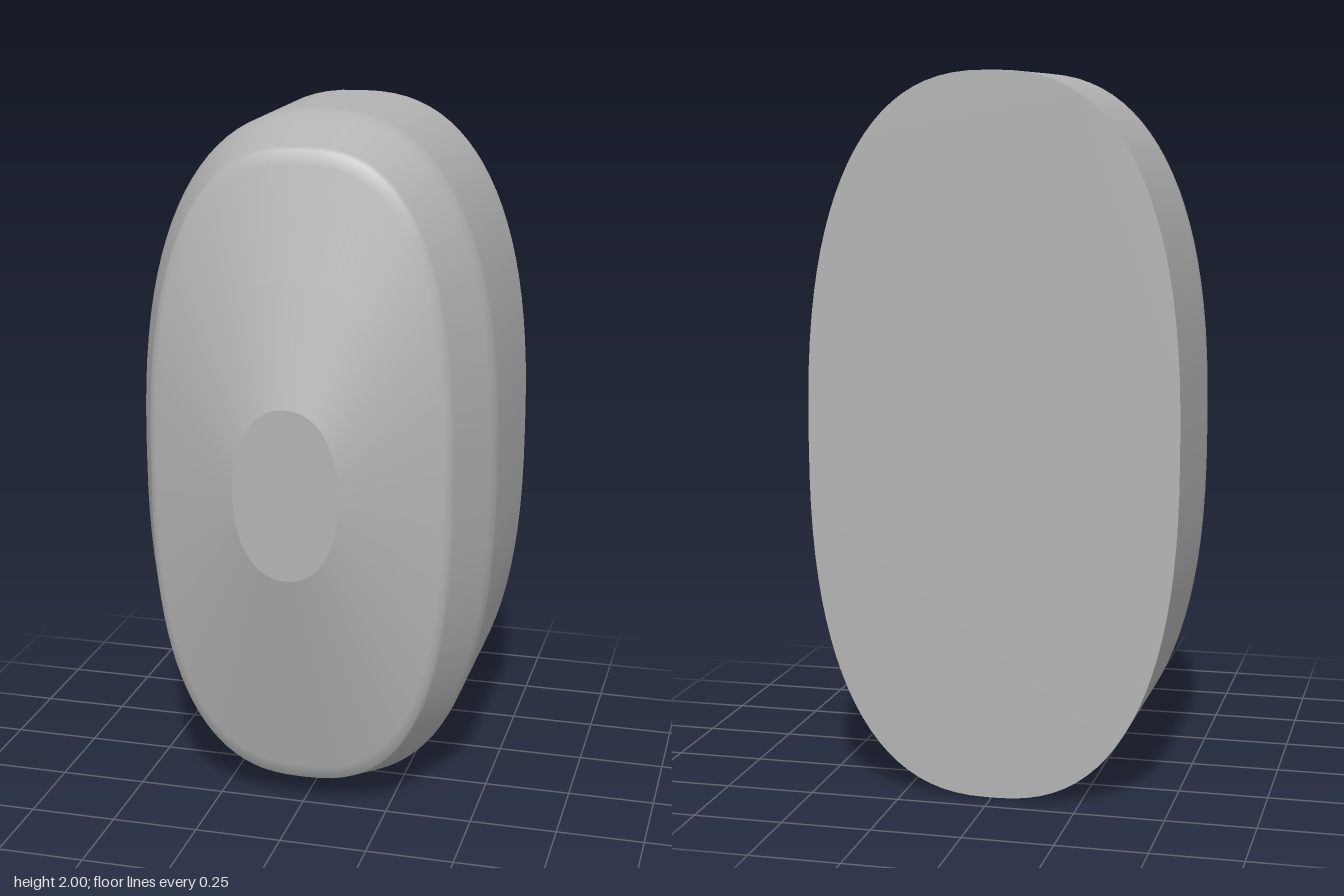
import * as THREE from 'three';

const SEGMENTS = 96;

// Rounded-oblong loop; depth blends from the top/bottom value to the side value
function ring([rx, ry, zSide, zTop, power]) {
  const points = [];
  for (let i = 0; i < SEGMENTS; i++) {
    const a = (i / SEGMENTS) * Math.PI * 2;
    const c = Math.cos(a), s = Math.sin(a);
    const x = rx * Math.sign(c) * Math.abs(c) ** (2 / power);
    const y = ry * Math.sign(s) * Math.abs(s) ** (2 / power);
    points.push(new THREE.Vector3(x, y + 1, zTop + (zSide - zTop) * c * c));
  }
  return points;
}

// Smooth skin through a list of loops, back to front
function loft(sections) {
  const vertices = sections.flatMap(ring);
  const index = [];
  for (let r = 0; r < sections.length - 1; r++) {
    for (let i = 0; i < SEGMENTS; i++) {
      const j = (i + 1) % SEGMENTS;
      const a = r * SEGMENTS + i, b = r * SEGMENTS + j;
      index.push(a, b, b + SEGMENTS, a, b + SEGMENTS, a + SEGMENTS);
    }
  }
  const geometry = new THREE.BufferGeometry().setFromPoints(vertices);
  geometry.setIndex(index);
  geometry.computeVertexNormals();
  return geometry;
}

// Flat end face
function cap(section, facingBack) {
  const shape = new THREE.Shape(ring(section).map((p) => new THREE.Vector2(p.x, p.y)));
  const geometry = new THREE.ShapeGeometry(shape);
  if (facingBack) geometry.scale(-1, 1, 1).rotateY(0);
  if (facingBack) {
    // the mirrored outline is symmetric, so only the winding and normals change
    const idx = geometry.index.array;
    for (let i = 0; i < idx.length; i += 3) [idx[i + 1], idx[i + 2]] = [idx[i + 2], idx[i + 1]];
    geometry.scale(-1, 1, 1);
    geometry.computeVertexNormals();
  }
  return geometry.translate(0, 0, section[2]);
}

// Section part-way between two others, used to keep edges tight
const between = (a, b, t) => a.map((v, i) => v + (b[i] - v) * t);

export function createModel() {
  const group = new THREE.Group();
  const grey = new THREE.MeshStandardMaterial({ color: 0xb3b3b3 });
  grey.name = 'plain grey';

  // half width, half height, z at sides, z at top and bottom, roundness power
  const back = [0.52, 1, -0.425, -0.425, 2.5];
  const shoulder = [0.52, 1, 0.08, 0.04, 2.5];
  const rim = [0.43, 0.92, 0.295, 0.25, 2.6];
  const tip = [0.15, 0.245, 0.425, 0.425, 2.2];

  const add = (name, geometry) => {
    const mesh = new THREE.Mesh(geometry, grey);
    mesh.name = name;
    group.add(mesh);
  };

  add('body', loft([
    back,
    between(back, shoulder, 0.93),
    shoulder,
    between(shoulder, rim, 0.15),
    between(shoulder, rim, 0.9),
    rim,
    between(rim, tip, 0.06),
    between(rim, tip, 0.5),
    tip,
  ]));
  add('frontFace', cap(tip, false));
  add('backFace', cap(back, true));
  return group;
}
